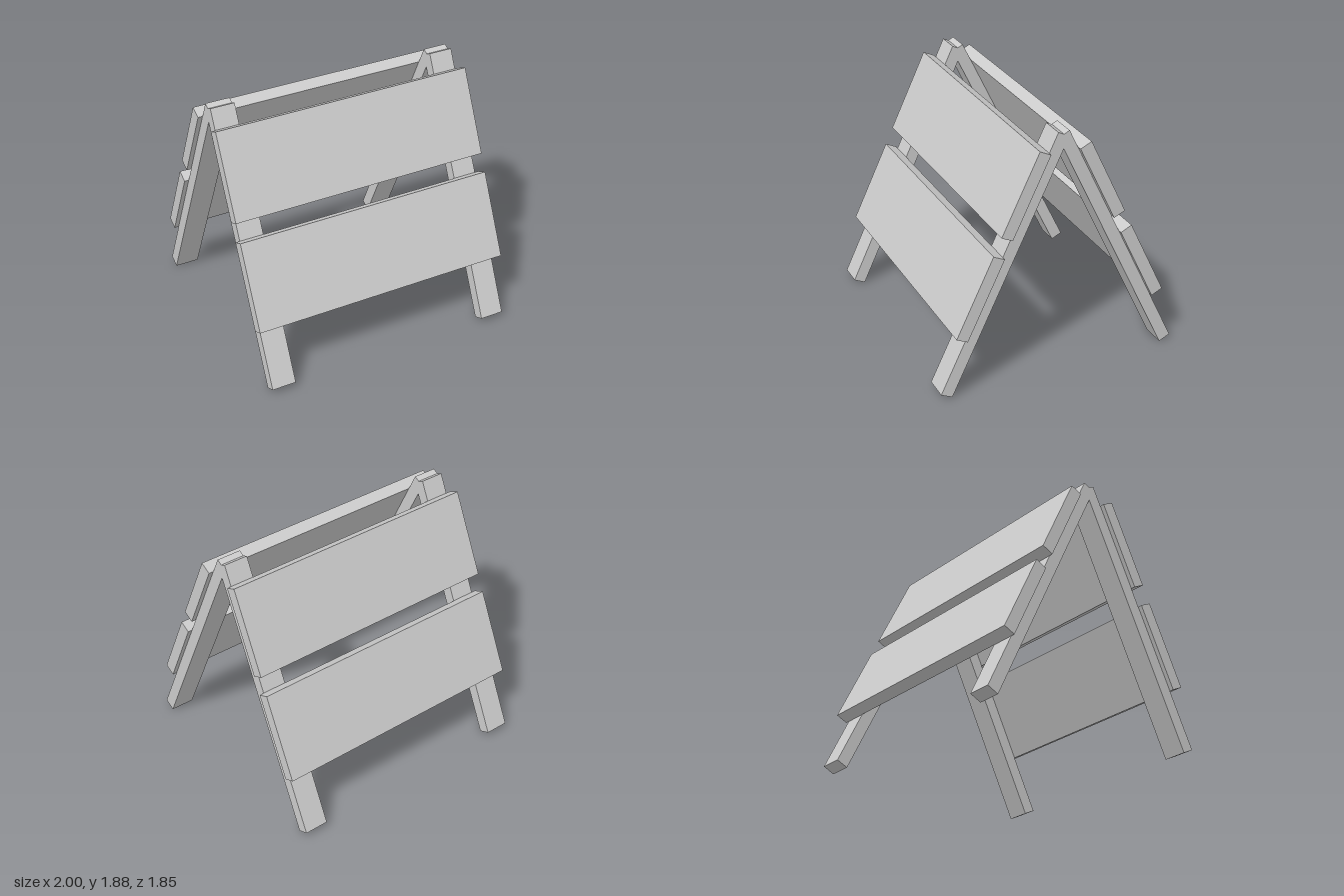
import * as THREE from 'three';

const TILT = THREE.MathUtils.degToRad(25.65); // lean of each half from vertical
const THICK = 0.093;                          // board thickness
const LEG_LENGTH = 2.04;
const LEG_WIDTH = 0.182;
const LEG_X = 0.876;
const PANEL_LENGTH = 0.649;
const FOOT_Z = 0.925;

const material = new THREE.MeshStandardMaterial({ color: 0xcccccc, flatShading: true });

// Board lying in the leaning plane: starts at height y, back face at depth z
function board(name, width, length, x, y, z) {
  const mesh = new THREE.Mesh(new THREE.BoxGeometry(width, length, THICK), material);
  mesh.name = name;
  mesh.position.set(x, y + length / 2, z + THICK / 2);
  return mesh;
}

// One leaning half: two legs with two wide panels fixed on the outside
function createHalf(name) {
  const frame = new THREE.Group();
  frame.name = name + 'Frame';
  frame.position.set(0, THICK * Math.sin(TILT), FOOT_Z);
  frame.rotation.x = -TILT;
  frame.add(board(name + 'LeftLeg', LEG_WIDTH, LEG_LENGTH, LEG_X, 0, -THICK));
  frame.add(board(name + 'RightLeg', LEG_WIDTH, LEG_LENGTH, -LEG_X, 0, -THICK));
  frame.add(board(name + 'LowerPanel', 2, PANEL_LENGTH, 0, 0.447, 0));
  frame.add(board(name + 'UpperPanel', 2, PANEL_LENGTH, 0, 1.238, 0.002));

  const half = new THREE.Group();
  half.name = name + 'Half';
  half.add(frame);
  return half;
}

export function createModel() {
  const model = new THREE.Group();
  model.name = 'aFrameBarrier';
  const front = createHalf('front');
  const back = createHalf('back');
  back.rotation.y = Math.PI;
  // The turned half swaps sides, so swap its leg names too
  const [a, b] = back.children[0].children;
  [a.name, b.name] = [b.name, a.name];
  model.add(front, back);
  return model;
}
